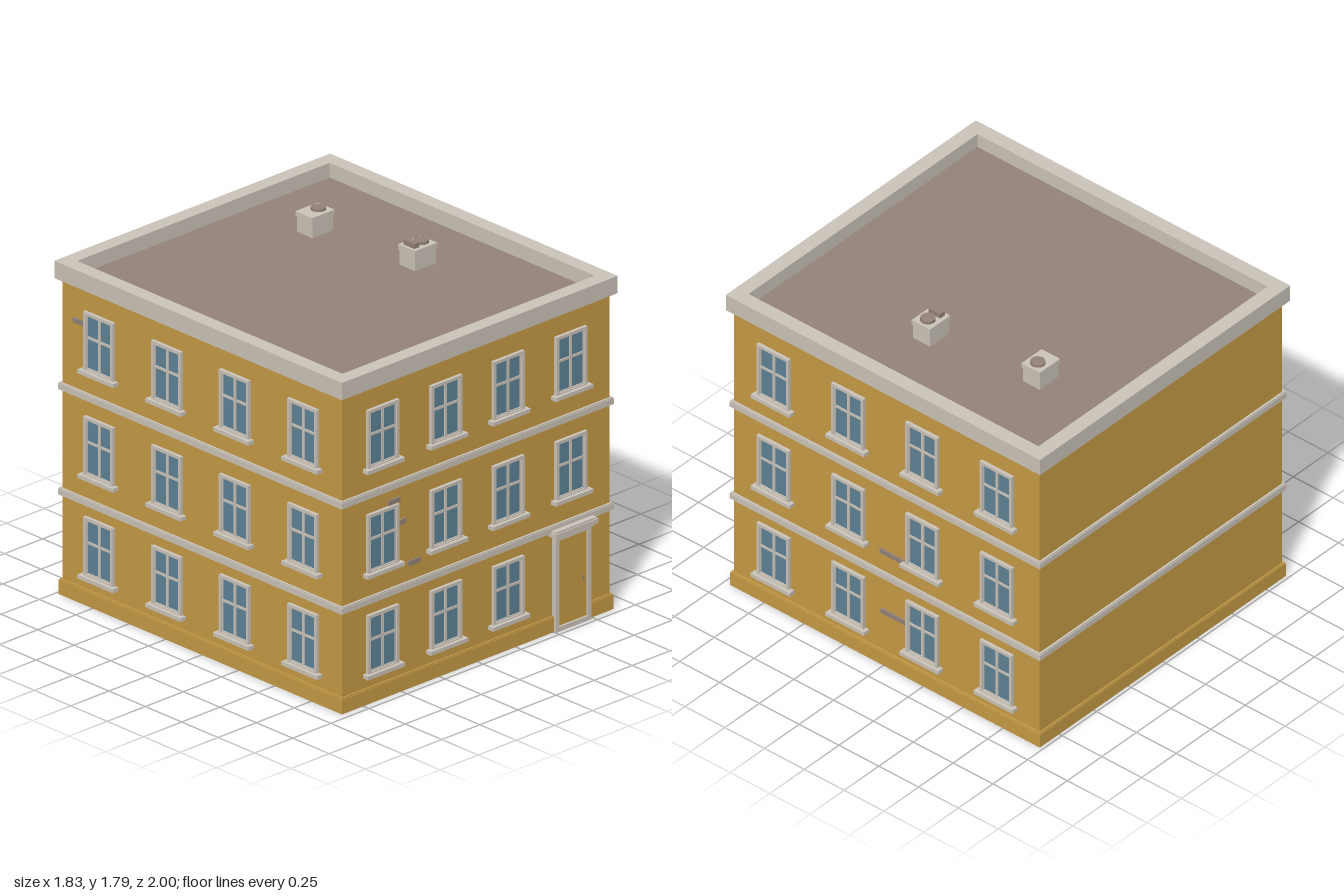
import * as THREE from 'three';

const mat = (name, color) => {
  const m = new THREE.MeshStandardMaterial({ color });
  m.name = name;
  return m;
};

export function createModel() {
  const wall = mat('ochre wall', 0xc69b45);
  const trim = mat('pale stone trim', 0xcbc4b9);
  const brown = mat('brown roof', 0x94837a);
  const glass = mat('blue glass', 0x5e8396);
  const model = new THREE.Group();
  model.name = 'apartmentBuilding';

  const HX = 0.878, Z0 = -0.97, Z1 = 0.95, ZC = (Z0 + Z1) / 2, HZ = (Z1 - Z0) / 2;

  function add(parent, name, geometry, material, x = 0, y = 0, z = 0) {
    const mesh = new THREE.Mesh(geometry, material);
    mesh.name = name;
    mesh.position.set(x, y, z);
    parent.add(mesh);
    return mesh;
  }

  // Box given by its extents along each axis
  function box(parent, name, material, x0, x1, y0, y1, z0, z1) {
    return add(parent, name, new THREE.BoxGeometry(x1 - x0, y1 - y0, z1 - z0), material,
      (x0 + x1) / 2, (y0 + y1) / 2, (z0 + z1) / 2);
  }

  // Rectangle with a rectangular hole, extruded along +z
  function frameGeometry(w, h, border, depth) {
    const rect = (P, a, b) => {
      const p = new P();
      p.moveTo(-a, -b); p.lineTo(a, -b); p.lineTo(a, b); p.lineTo(-a, b); p.closePath();
      return p;
    };
    const shape = rect(THREE.Shape, w / 2, h / 2);
    shape.holes.push(rect(THREE.Path, w / 2 - border, h / 2 - border));
    return new THREE.ExtrudeGeometry(shape, { depth, bevelEnabled: false });
  }

  // Belt around the whole building
  const belt = (name, material, out, y0, y1) =>
    box(model, name, material, -HX - out, HX + out, y0, y1, Z0 - out, Z1 + out);

  // Body, base and string courses
  belt('walls', wall, 0, 0.01, 1.65);
  belt('base', wall, 0.012, 0, 0.075);
  belt('baseLip', wall, 0.008, 0.075, 0.082);
  for (const y of [0.518, 1.065]) {
    belt('stringCourse', trim, 0.015, y, y + 0.03);
    belt('stringCourseLip', trim, 0.011, y + 0.03, y + 0.036);
  }

  // Parapet ring and sunken roof
  const parapet = add(model, 'parapet', frameGeometry(2 * HX + 0.054, 2 * HZ + 0.054, 0.077, 0.09), trim, 0, 1.64, ZC);
  parapet.rotation.x = -Math.PI / 2;
  belt('roof', brown, -0.03, 1.645, 1.654);

  // Facades: local x runs along the wall, local z points outward
  function facade(name, x, z, turn) {
    const g = new THREE.Group();
    g.name = name;
    g.position.set(x, 0, z);
    g.rotation.y = turn;
    model.add(g);
    return g;
  }
  const front = facade('frontFacade', 0, Z1, 0);
  const leftSide = facade('leftFacade', HX, 0, Math.PI / 2);
  const rightSide = facade('rightFacade', -HX, 0, -Math.PI / 2);

  // Window: glass, frame, glazing bars and sill; y is the sill's underside
  const outerFrame = frameGeometry(0.202, 0.312, 0.016, 0.018);
  const sash = frameGeometry(0.176, 0.286, 0.007, 0.01);
  function window(parent, x, y) {
    const g = new THREE.Group();
    g.name = 'window';
    g.position.set(x, y, 0);
    parent.add(g);
    box(g, 'pane', glass, -0.09, 0.09, 0.02, 0.31, 0, 0.004);
    add(g, 'windowFrame', outerFrame, trim, 0, 0.166, 0);
    add(g, 'sash', sash, trim, 0, 0.168, 0);
    box(g, 'verticalBar', trim, -0.0075, 0.0075, 0.02, 0.31, 0, 0.01);
    box(g, 'horizontalBar', trim, -0.088, 0.088, 0.183, 0.196, 0, 0.009);
    box(g, 'sill', trim, -0.122, 0.122, 0, 0.02, 0, 0.036);
  }

  const floors = [0.138, 0.66, 1.203];
  floors.forEach((y, floor) => {
    [-0.62, -0.205, 0.203, 0.615].forEach((x, i) => {
      if (floor > 0 || i < 3) window(front, x, y);
    });
    for (const z of [0.692, 0.223, -0.242, -0.708]) {
      window(leftSide, -z, y);
      window(rightSide, z, y);
    }
  });

  // Door with surround and stepped canopy
  const door = new THREE.Group();
  door.name = 'door';
  door.position.x = 0.618;
  front.add(door);
  box(door, 'doorLeaf', wall, -0.1, 0.1, 0.01, 0.48, 0, 0.014);
  add(door, 'doorSurround', frameGeometry(0.234, 0.495, 0.024, 0.026), trim, 0, 0.2475, 0);
  box(door, 'doorHandle', brown, 0.065, 0.075, 0.215, 0.24, 0.014, 0.022);
  box(door, 'canopyStep', trim, -0.122, 0.122, 0.485, 0.502, 0, 0.036);
  box(door, 'canopy', trim, -0.14, 0.14, 0.5, 0.524, 0, 0.05);
  box(door, 'canopyTop', trim, -0.134, 0.134, 0.524, 0.532, 0, 0.044);

  // Exposed bricks
  const brick = (parent, x0, x1, y) => box(parent, 'exposedBrick', brown, x0, x1, y, y + 0.026, 0, 0.009);
  brick(front, -0.58, -0.504, 0.985);
  brick(front, -0.53, -0.463, 0.863);
  brick(front, -0.447, -0.37, 0.632);
  brick(leftSide, -0.027, 0.134, 0.657);
  brick(leftSide, -0.022, 0.138, 0.302);
  brick(rightSide, -0.89, -0.81, 1.44);

  // Roof vents
  function vent(x, z) {
    const g = new THREE.Group();
    g.name = 'roofVent';
    g.position.set(x, 1.65, z);
    model.add(g);
    box(g, 'ventBox', trim, -0.068, 0.068, 0, 0.085, -0.053, 0.053);
    box(g, 'ventLid', trim, -0.073, 0.073, 0.085, 0.111, -0.058, 0.058);
    return g;
  }
  const pipe = (g, x, z, top) =>
    add(g, 'ventCap', new THREE.CylinderGeometry(0.037, 0.037, top - 0.105, 16), brown, x, (top + 0.105) / 2, z);
  pipe(vent(0.347, -0.517), 0.022, 0, 0.124);
  const second = vent(0.433, 0.098);
  pipe(second, 0.022, 0, 0.127);
  box(second, 'ventSlot', brown, -0.058, -0.024, 0.105, 0.136, -0.037, 0.037);

  return model;
}
